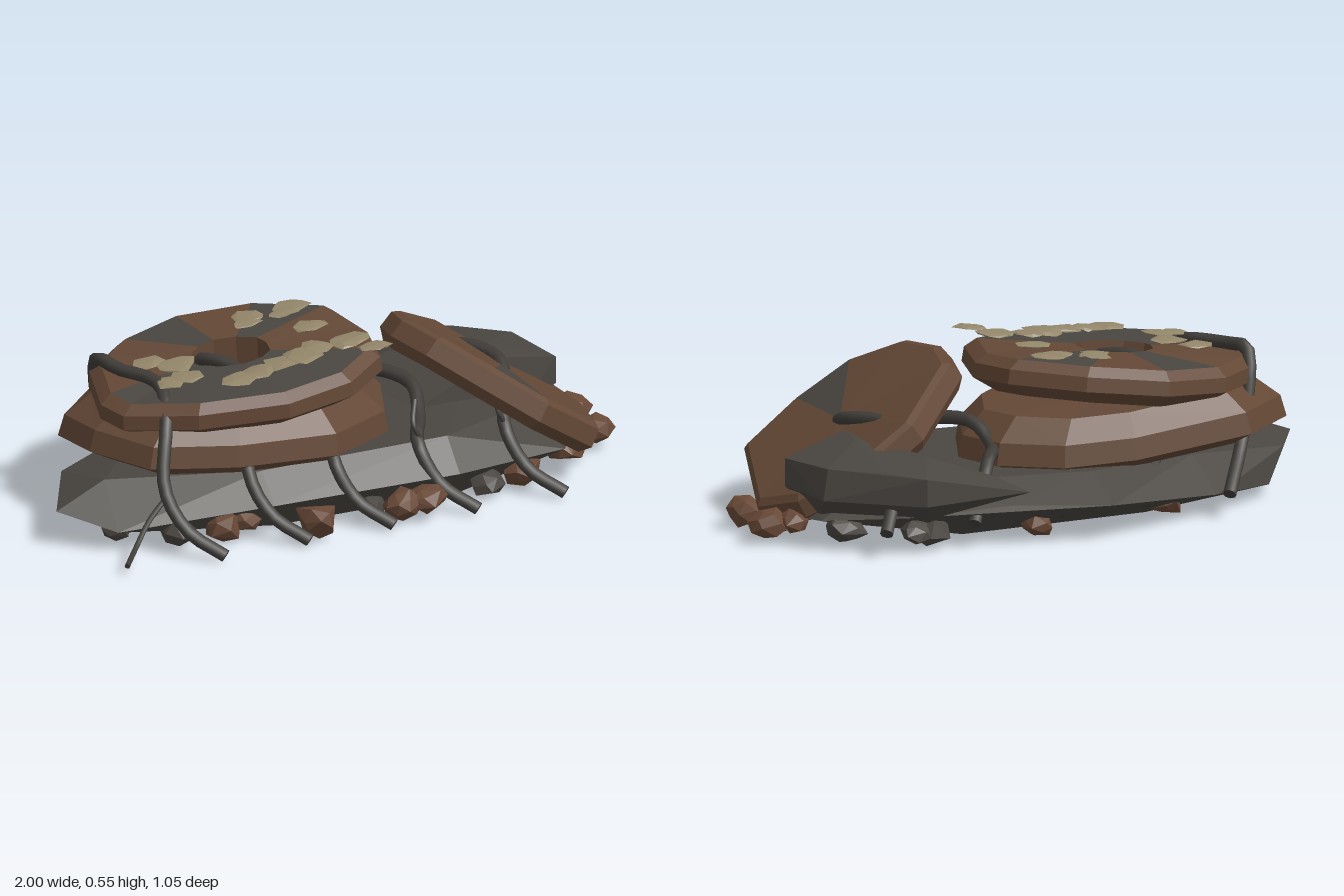
import * as THREE from 'three';
import { ConvexGeometry } from 'three/addons/geometries/ConvexGeometry.js';

const mat = (name, color) => Object.assign(new THREE.MeshStandardMaterial({ color }), { name });
const rust = mat('rusty brown', 0x644836);
const rock = mat('dark rock', 0x4a4641);
const root = mat('root grey', 0x403d39);
const rubble = mat('rubble brown', 0x6a4a38);
const lichen = mat('lichen beige', 0x93866a);

// Seeded random numbers
let seed = 7;
const rnd = () => (seed = (seed * 16807) % 2147483647) / 2147483647;
const V = (p) => new THREE.Vector3(...p);

function add(parent, name, geometry, material, pos = [0, 0, 0]) {
  const m = new THREE.Mesh(geometry, material);
  m.name = name;
  m.position.set(...pos);
  parent.add(m);
  return m;
}

// Faceted disc: an irregular [x, z] outline scaled along a profile of [scale, y].
// The strip topRow takes the second material on its grey segments.
function disc(outline, profile, topRow, greySegs) {
  const n = outline.length;
  const lifts = outline.map(() => (rnd() - 0.5) * 0.02);
  const point = (i, j) => {
    const [x, z] = outline[j % n], [s, y] = profile[i];
    return [x * s, y + (s > 0.5 ? lifts[j % n] : 0), z * s];
  };
  const pos = [];
  const g = new THREE.BufferGeometry();
  for (let i = 0; i < profile.length - 1; i++) {
    for (let j = 0; j < n; j++) {
      const a = point(i, j), b = point(i + 1, j), c = point(i + 1, j + 1), d = point(i, j + 1);
      g.addGroup(pos.length / 3, 6, i === topRow && greySegs.includes(j) ? 1 : 0);
      pos.push(...a, ...b, ...c, ...a, ...c, ...d);
    }
  }
  g.setAttribute('position', new THREE.Float32BufferAttribute(pos, 3));
  g.computeVertexNormals();
  return g;
}

// Angular lump made from jittered points spread over a sphere
function lump(r, sy = 1, n = 20) {
  const pts = [];
  for (let i = 0; i < n; i++) {
    const y = 1 - (2 * (i + 0.5)) / n, a = i * 2.4 + rnd() * 0.5;
    const q = Math.sqrt(1 - y * y), k = r * (0.7 + 0.45 * rnd());
    pts.push(new THREE.Vector3(Math.cos(a) * q * k, y * k * sy, Math.sin(a) * q * k));
  }
  return new ConvexGeometry(pts);
}

// Round root with closed ends
function addRoot(parent, name, points, r) {
  const g = new THREE.Group();
  g.name = name;
  const curve = new THREE.CatmullRomCurve3(points.map(V));
  add(g, 'rootStem', new THREE.TubeGeometry(curve, 32, r, 8), root);
  for (const t of [0, 1]) {
    const p = curve.getPoint(t);
    const cap = add(g, 'rootEnd', new THREE.CircleGeometry(r, 8), root, p.toArray());
    cap.lookAt(p.clone().addScaledVector(curve.getTangent(t), t ? 1 : -1));
  }
  parent.add(g);
}

export function createModel() {
  seed = 7;
  const model = new THREE.Group();
  model.name = 'stackedRuins';

  // Ground slab
  add(model, 'baseSlab', new ConvexGeometry([
    [-1, 0.13, 0.14], [-0.85, 0.08, 0.28], [-0.82, 0.2, 0.12], [-0.85, 0.15, -0.12],
    [-0.76, 0.05, -0.2], [-0.5, 0.08, -0.36], [-0.45, 0.2, -0.28], [-0.05, 0.13, -0.53], [-0.05, 0.21, -0.38],
    [0.25, 0.14, -0.43], [0.6, 0.12, -0.36], [0.82, 0.1, -0.2], [0.84, 0.06, 0.12],
    [-0.35, 0.12, 0.39], [-0.35, 0.21, 0.3], [0.3, 0.12, 0.41], [0.3, 0.22, 0.32],
    [0.72, 0.1, 0.32], [0.65, 0.2, 0.15], [0.65, 0.2, -0.2],
    [-0.3, 0.015, 0.3], [-0.3, 0.02, -0.25], [0.35, 0.01, 0.3], [0.35, 0.02, -0.26], [0.7, 0.04, 0],
  ].map(V)), rock);

  // Raised boulder behind the leaning plate
  add(model, 'backBoulder', new ConvexGeometry([
    [0.18, 0.17, -0.4], [0.28, 0.22, -0.32], [0.58, 0.18, -0.48], [0.58, 0.27, -0.48],
    [0.68, 0.28, -0.38], [0.82, 0.28, -0.25], [0.84, 0.18, -0.26], [0.86, 0.27, -0.02],
    [0.86, 0.18, -0.02], [0.63, 0.325, 0.03], [0.65, 0.325, -0.1], [0.5, 0.3, -0.3],
    [0.3, 0.2, 0.05], [0.65, 0.08, 0.05], [0.5, 0.08, -0.34], [0.78, 0.08, -0.12],
  ].map(V)), rock);

  // Lower thick disc with sloping shoulders
  const lower = add(model, 'lowerDisc', disc(
    [[-0.54, -0.16], [-0.32, -0.36], [0.1, -0.39], [0.33, -0.34], [0.51, -0.22], [0.56, -0.04],
      [0.46, 0.19], [0.2, 0.35], [-0.15, 0.34], [-0.42, 0.25], [-0.53, 0.04]],
    [[0, -0.075], [0.86, -0.075], [1, -0.04], [0.97, 0.03], [0.82, 0.1], [0, 0.1]],
    4, []), [rust, rock], [-0.3, 0.28, 0]);
  lower.rotation.z = -0.05;

  // Upper ring with patchy top
  const upper = add(model, 'upperRing', disc(
    [[-0.49, 0.05], [-0.41, -0.19], [-0.24, -0.33], [-0.01, -0.39], [0.25, -0.32], [0.45, -0.16],
      [0.48, 0.03], [0.42, 0.24], [0.26, 0.35], [0.01, 0.4], [-0.27, 0.31], [-0.46, 0.15]],
    [[0.27, -0.06], [0.82, -0.08], [1, -0.035], [0.99, 0.012], [0.91, 0.042], [0.27, 0.052], [0.27, -0.06]],
    4, [2, 4, 7, 8, 9, 10, 11]), [rust, rock], [-0.31, 0.453, 0]);
  upper.rotation.set(0.03, 0, 0.085);

  // Solid plate leaning on the right
  const plate = add(model, 'leaningPlate', disc(
    [[0.11, -0.34], [0.33, -0.24], [0.41, -0.07], [0.24, 0.32], [0, 0.35],
      [-0.22, 0.3], [-0.37, 0.15], [-0.41, -0.02], [-0.37, -0.16], [-0.1, -0.35]],
    [[0, -0.065], [0.92, -0.065], [1, -0.03], [0.98, 0.03], [0.92, 0.045], [0, 0.05]],
    4, [4]), [rust, rock], [0.57, 0.297, 0.12]);
  plate.rotation.z = -0.59;

  // Roots winding over the stack: [x, height of the middle, height near the back]
  const roots = [[-0.7, 0.48, 0.49], [-0.4, 0.46, 0.34], [-0.1, 0.33, 0.3], [0.2, 0.32, 0.27], [0.51, 0.35, 0.3]];
  for (const [x, mid, back] of roots) {
    addRoot(model, 'root', [
      [x + 0.12, 0.03, 0.5], [x + 0.03, 0.1, 0.41], [x - 0.01, 0.22, 0.33], [x + 0.05, mid - 0.06, 0.22],
      [x + 0.09, mid, 0.08], [x + 0.02, mid + 0.01, -0.06], [x, back, -0.17],
      [x + 0.06, 0.25, -0.26], [x + 0.18, 0.09, -0.41],
    ], 0.022);
  }

  // Thin side rootlets
  addRoot(model, 'rootlet', [[-0.91, 0.04, 0.46], [-0.84, 0.06, 0.38], [-0.76, 0.12, 0.32], [-0.66, 0.18, 0.27]], 0.009);
  for (const x of [-0.4, -0.1, 0.2, 0.5]) {
    addRoot(model, 'rootlet', [[x, 0.23, 0.33], [x - 0.02, 0.28, 0.32], [x + 0.01, 0.34, 0.27]], 0.009);
  }

  // Loose stones around the foot: [x, y, z, radius, material]
  const stones = [
    [-0.82, 0.07, 0.2, 0.055, rock], [-0.65, 0.06, 0.3, 0.06, rock], [-0.5, 0.07, 0.32, 0.075, rubble],
    [-0.43, 0.07, 0.33, 0.055, rubble], [-0.23, 0.075, 0.45, 0.075, rubble], [0.0, 0.06, 0.38, 0.05, rock],
    [0.08, 0.07, 0.44, 0.065, rubble], [0.16, 0.08, 0.45, 0.065, rubble], [0.42, 0.05, 0.36, 0.06, rock],
    [0.56, 0.06, 0.34, 0.07, rubble], [0.78, 0.06, 0.2, 0.07, rubble], [0.92, 0.07, 0.14, 0.07, rubble],
    [0.86, 0.07, 0.0, 0.06, rubble], [0.93, 0.07, -0.05, 0.07, rubble], [0.86, 0.08, -0.09, 0.055, rubble],
    [0.74, 0.07, -0.22, 0.065, rock], [0.5, 0.06, -0.34, 0.07, rock], [0.56, 0.07, -0.36, 0.055, rock],
    [0.15, 0.06, -0.38, 0.06, rubble], [-0.35, 0.06, -0.3, 0.06, rubble], [-0.68, 0.08, -0.17, 0.06, rubble],
  ];
  for (const [x, y, z, r, m] of stones) add(model, 'looseStone', lump(r, 0.75), m, [x, y, z]);

  // Lichen flakes following the ring's slope: [x, z, radius]
  const flakes = [
    [-0.16, -0.18, 0.06], [-0.18, -0.14, 0.05], [0.0, -0.18, 0.065], [-0.05, -0.14, 0.05], [-0.03, 0, 0.06],
    [-0.58, -0.05, 0.065], [-0.51, 0.02, 0.075], [-0.59, 0.13, 0.055], [-0.53, 0.12, 0.06], [-0.4, 0.24, 0.065],
    [-0.32, 0.23, 0.07], [-0.24, 0.21, 0.07], [-0.16, 0.19, 0.08], [-0.09, 0.16, 0.065],
    [0.02, 0.18, 0.08], [0.07, 0.27, 0.055],
  ];
  for (const [x, z, r] of flakes) {
    const flake = add(model, 'lichenFlake', lump(r, 0.12), lichen, [x, 0.544 + x * 0.085, z]);
    flake.rotation.z = 0.085;
    flake.scale.z = 0.85;
  }
  return model;
}
